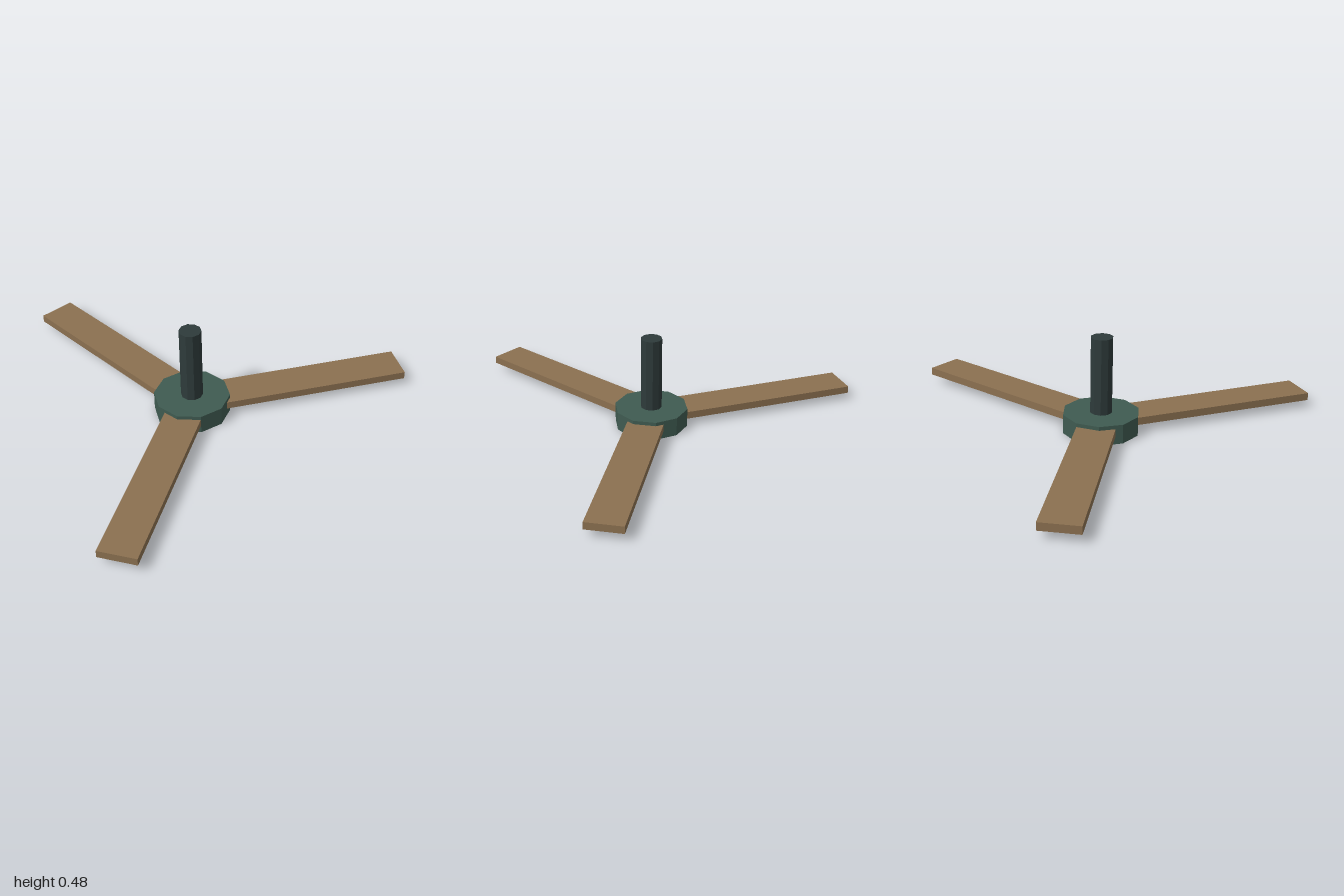
import * as THREE from 'three';

const HUB_X = -0.235; // rotor axis, offset so the whole model is centred

export function createModel() {
  const model = new THREE.Group();
  model.name = 'ceilingFan';

  const material = (name, color) => {
    const m = new THREE.MeshStandardMaterial({ color, flatShading: true });
    m.name = name;
    return m;
  };
  const hubGreen = material('hubGreen', 0x3f5b51);
  const rodDark = material('rodDark', 0x2e3b3b);
  const wood = material('wood', 0x8b7050);

  const rotor = new THREE.Group();
  rotor.name = 'rotor';
  rotor.position.x = HUB_X;
  model.add(rotor);

  // Upright ten-sided drum between two heights
  const addDrum = (name, radius, y0, y1, mat) => {
    const mesh = new THREE.Mesh(new THREE.CylinderGeometry(radius, radius, y1 - y0, 10), mat);
    mesh.name = name;
    mesh.position.y = (y0 + y1) / 2;
    rotor.add(mesh);
  };
  addDrum('hub', 0.19, 0, 0.097, hubGreen);
  addDrum('rod', 0.055, 0.09, 0.48, rodDark);

  // Three flat blades, set into the hub
  const inner = 0.12, outer = 1.1;
  const bladeGeometry = new THREE.BoxGeometry(outer - inner, 0.038, 0.187);
  bladeGeometry.translate((inner + outer) / 2, 0.059, 0);
  for (let i = 0; i < 3; i++) {
    const blade = new THREE.Mesh(bladeGeometry, wood);
    blade.name = `blade${i + 1}`;
    blade.rotation.y = (i * Math.PI * 2) / 3;
    rotor.add(blade);
  }

  return model;
}
